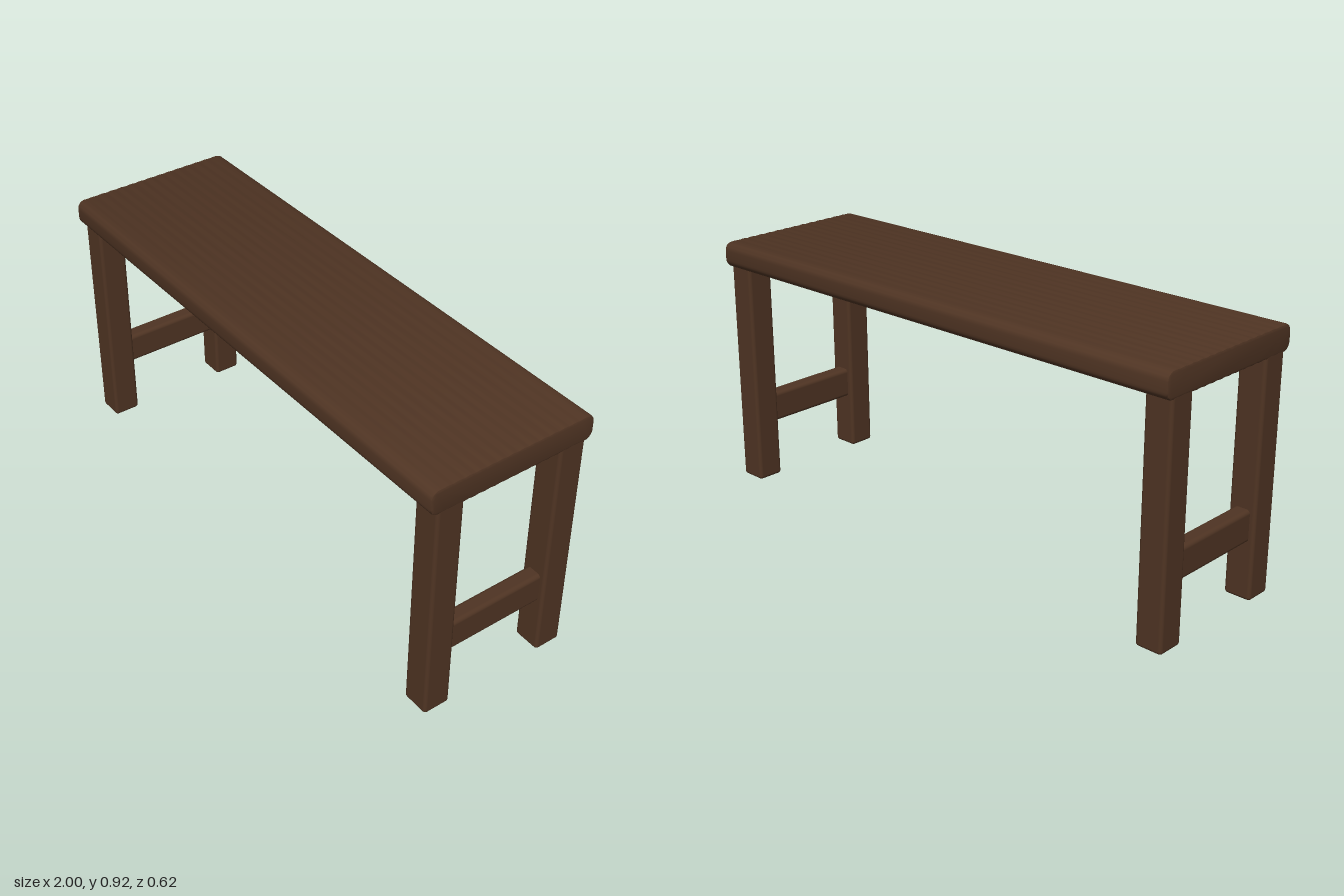
import * as THREE from 'three';
import { toCreasedNormals } from 'three/addons/utils/BufferGeometryUtils.js';
import { RoundedBoxGeometry } from 'three/addons/geometries/RoundedBoxGeometry.js';

const wood = new THREE.MeshStandardMaterial({ color: 0x4f3423 });
wood.name = 'dark brown wood';

function addPart(group, name, geometry, x = 0, y = 0, z = 0) {
  const mesh = new THREE.Mesh(geometry, wood);
  mesh.name = name;
  mesh.position.set(x, y, z);
  group.add(mesh);
}

// Rounded plank section with faint grain ridges, extruded along x
function seatGeometry() {
  const bevel = 0.008, halfZ = 0.312 - bevel, halfY = 0.046 - bevel, r = 0.022;
  const flat = halfZ - r, steps = 96;
  const points = [];
  const edge = (side) => {
    for (let i = 0; i <= steps; i++) {
      const t = i / steps * 2 - 1;
      const ripple = 0.0009 * Math.sin(t * Math.PI * 14) * (1 - t ** 8);
      points.push(new THREE.Vector2(-side * t * flat, side * (halfY + ripple)));
    }
  };
  const corner = (cx, cy, start) => {
    for (let i = 1; i < 6; i++) {
      const a = start + i / 6 * Math.PI / 2;
      points.push(new THREE.Vector2(cx + r * Math.cos(a), cy + r * Math.sin(a)));
    }
  };
  edge(1);
  corner(-flat, halfY - r, Math.PI / 2);
  points.push(new THREE.Vector2(-halfZ, halfY - r), new THREE.Vector2(-halfZ, r - halfY));
  corner(-flat, r - halfY, Math.PI);
  edge(-1);
  corner(flat, r - halfY, Math.PI * 1.5);
  points.push(new THREE.Vector2(halfZ, r - halfY), new THREE.Vector2(halfZ, halfY - r));
  corner(flat, halfY - r, 0);
  const length = 2 - 2 * bevel;
  const geometry = new THREE.ExtrudeGeometry(new THREE.Shape(points), {
    depth: length, bevelEnabled: true, bevelSize: bevel, bevelThickness: bevel, bevelSegments: 2,
  });
  geometry.translate(0, 0, -length / 2);
  geometry.rotateY(Math.PI / 2);
  return toCreasedNormals(geometry, 0.6);
}

export function createModel() {
  const bench = new THREE.Group();
  bench.name = 'bench';

  addPart(bench, 'seat', seatGeometry(), 0, 0.874, 0);

  // Two end frames: a pair of square legs joined by a low rail
  const leg = new RoundedBoxGeometry(0.1, 0.85, 0.1, 3, 0.012);
  const rail = new RoundedBoxGeometry(0.06, 0.113, 0.41, 3, 0.014);
  for (const side of [1, -1]) {
    const frame = new THREE.Group();
    frame.name = side > 0 ? 'leftEndFrame' : 'rightEndFrame';
    addPart(frame, 'frontLeg', leg, side * 0.949, 0.425, 0.235);
    addPart(frame, 'backLeg', leg, side * 0.949, 0.425, -0.235);
    addPart(frame, 'rail', rail, side * 0.949, 0.263, 0);
    bench.add(frame);
  }
  return bench;
}
